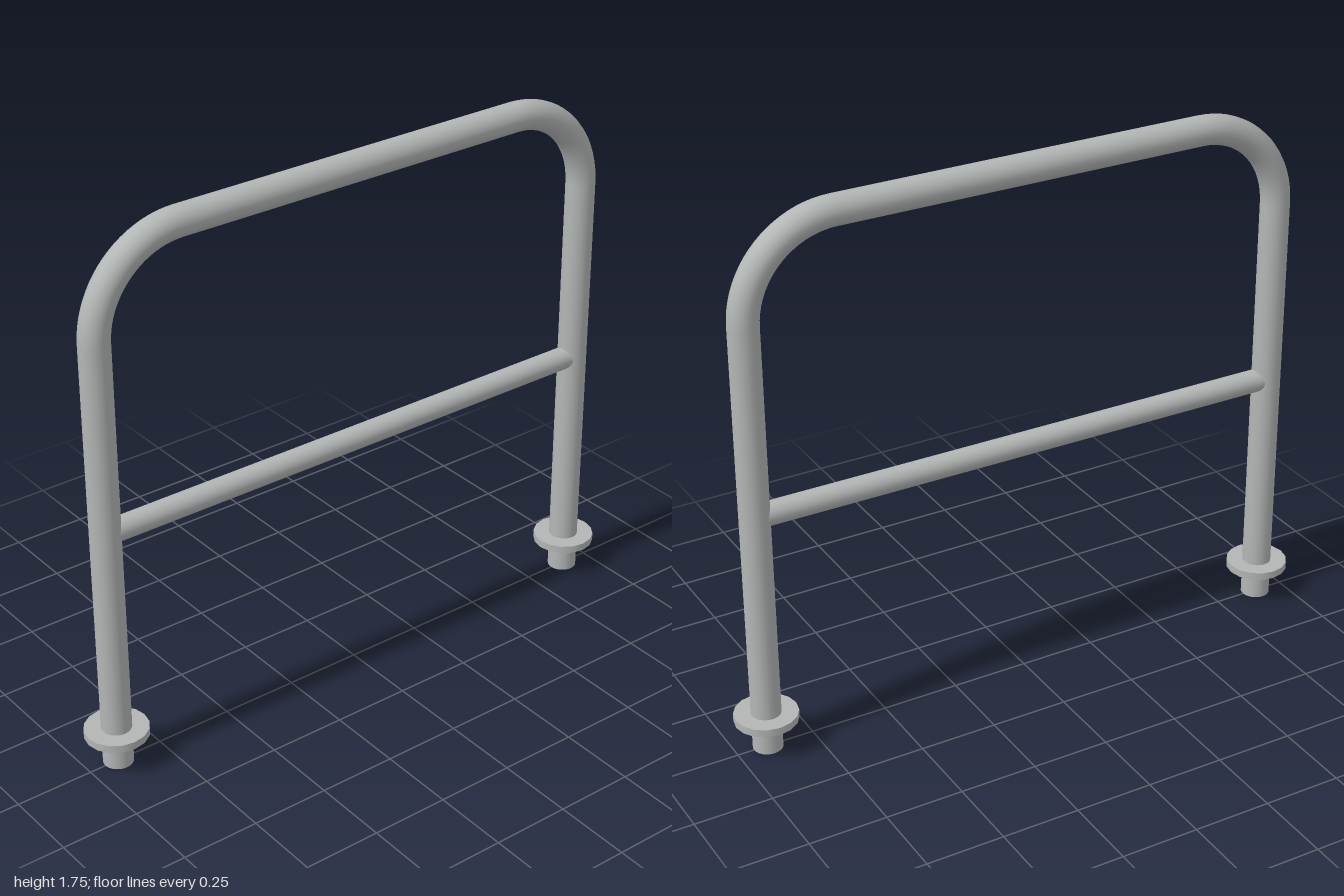
import * as THREE from 'three';

export function createModel() {
  const group = new THREE.Group();
  const steel = new THREE.MeshStandardMaterial({ color: 0xb2b6b5 });
  steel.name = 'brushed steel';

  const legZ = 0.9, topY = 1.703, bend = 0.29, pipe = 0.047;

  const add = (name, geometry, y, z) => {
    const mesh = new THREE.Mesh(geometry, steel);
    mesh.name = name;
    mesh.position.set(0, y, z);
    group.add(mesh);
  };

  // Horizontal pipe running along z
  const rail = (radius, length) =>
    new THREE.CylinderGeometry(radius, radius, length, 24, 1, true).rotateX(Math.PI / 2);

  for (const side of [1, -1]) {
    const end = side > 0 ? 'Front' : 'Back';
    const legHeight = topY - bend;

    // Upright, closed at the foot
    add('leg' + end, new THREE.CylinderGeometry(pipe, pipe, legHeight, 24), legHeight / 2, side * legZ);

    // Quarter bend from upright to top rail
    const corner = new THREE.TorusGeometry(bend, pipe, 24, 20, Math.PI / 2).rotateY(-side * Math.PI / 2);
    add('bend' + end, corner, legHeight, side * (legZ - bend));

    // Floor flange
    add('flange' + end, new THREE.CylinderGeometry(0.1, 0.1, 0.025, 16), 0.1125, side * legZ);
  }

  // Top rail and thinner middle rail
  add('topRail', rail(pipe, 2 * (legZ - bend)), topY, 0);
  add('middleRail', rail(0.037, 2 * legZ - 0.02), 0.803, 0);

  return group;
}
